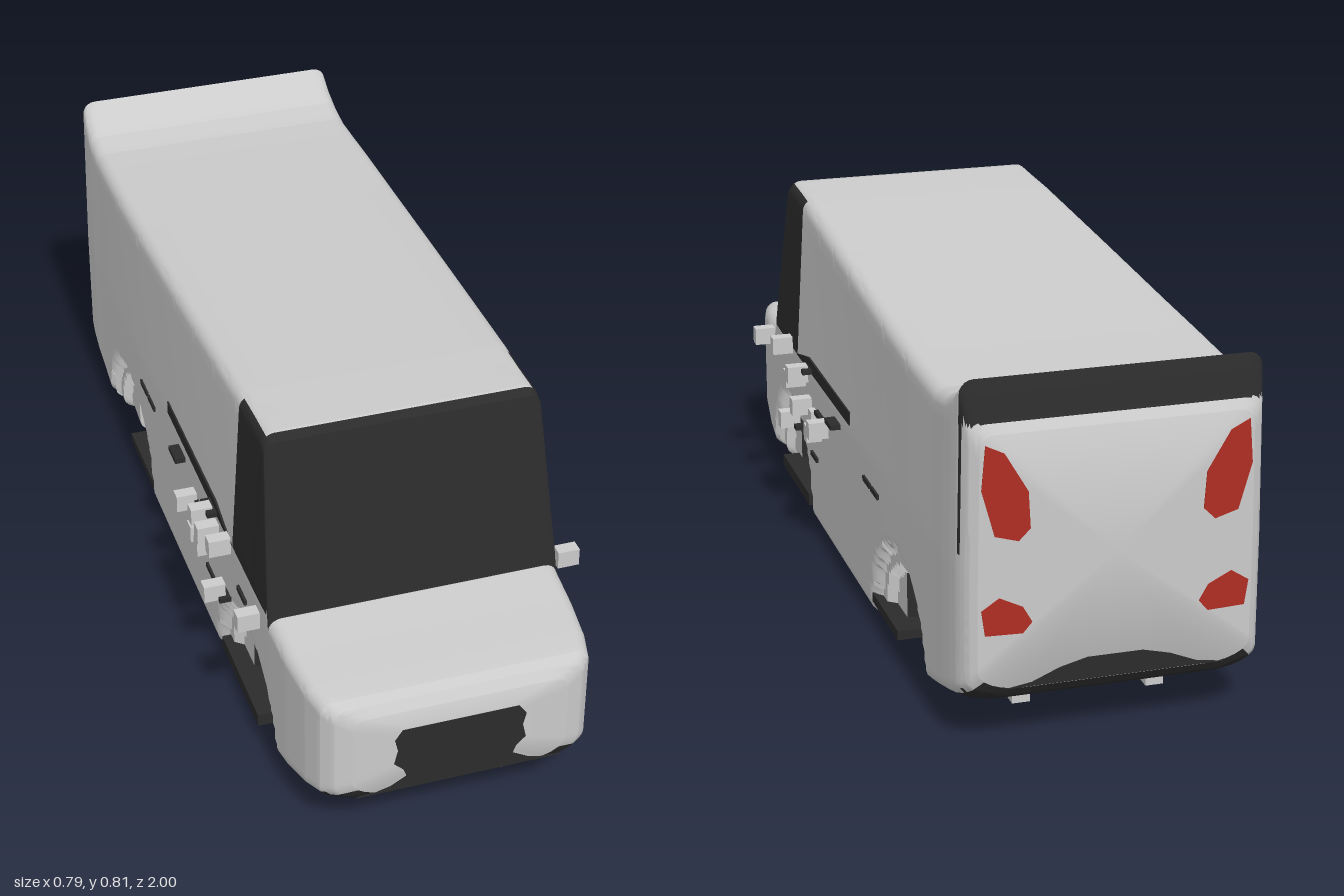
import * as THREE from 'three';
import { toCreasedNormals } from 'three/addons/utils/BufferGeometryUtils.js';

const mat = (name, color, side = THREE.FrontSide) => {
  const m = new THREE.MeshStandardMaterial({ color, side });
  m.name = name;
  return m;
};

// body stations from nose to tail: z, half width, bottom, top
const STATIONS = [
  [1, 0.24, 0.13, 0.345], [0.985, 0.28, 0.115, 0.367], [0.96, 0.3, 0.1, 0.376], [0.9, 0.315, 0.08, 0.381],
  [0.8, 0.326, 0.05, 0.388], [0.695, 0.331, 0.025, 0.398], [0.605, 0.333, 0.008, 0.795],
  [0.585, 0.333, 0.006, 0.806], [0.4, 0.334, 0, 0.8], [0, 0.335, 0, 0.775], [-0.4, 0.335, 0, 0.75],
  [-0.6, 0.334, 0.008, 0.74], [-0.72, 0.333, 0.03, 0.735], [-0.8, 0.332, 0.05, 0.733], [-0.87, 0.332, 0.07, 0.745],
  [-0.92, 0.33, 0.085, 0.768], [-0.955, 0.327, 0.1, 0.8], [-0.97, 0.322, 0.108, 0.765],
  [-0.985, 0.315, 0.118, 0.72], [-1, 0.295, 0.14, 0.695],
];
const { lerp, clamp } = THREE.MathUtils;

function station(z) {
  let i = 0;
  while (i < STATIONS.length - 2 && STATIONS[i + 1][0] > z) i++;
  const a = STATIONS[i], b = STATIONS[i + 1], t = (z - a[0]) / (b[0] - a[0]);
  return [1, 2, 3].map(k => lerp(a[k], b[k], t));
}

// right half of a cross-section, bottom centre to top centre
function halfSection(z) {
  const [w, b, t] = station(z);
  const lean = lerp(0.02, 0.075, clamp((z + 0.6) / 1.1, 0, 1));
  const hw = y => w * (1 - lean * Math.max(0, (y - 0.4) / 0.4));
  const rb = 0.045, rt = 0.03, y0 = b + rb, y2 = t - rt, y1 = Math.min(0.405, y2 - 0.003);
  const pts = [];
  const run = (n, f) => { for (let i = 0; i < n; i++) pts.push(f(i / n)); };
  run(5, s => [(hw(b) - 0.1) * s, b]);
  run(6, s => [hw(b) - 0.1 + 0.1 * Math.sin(s * Math.PI / 2), y0 - rb * Math.cos(s * Math.PI / 2)]);
  run(30, s => { const y = lerp(y0, y1, s); return [hw(y), y]; });
  run(12, s => { const y = lerp(y1, y2, s); return [hw(y), y]; });
  run(5, s => [hw(y2) - rt + rt * Math.cos(s * Math.PI / 2), y2 + rt * Math.sin(s * Math.PI / 2)]);
  run(6, s => [(hw(y2) - rt) * (1 - s), t]);
  pts.push([0, t]);
  return pts;
}

// stepped wheel wells pressed into the sides
const WELL_Z = 0.52, WELL_Y = 0.05;
const wellRadius = (y, z) => Math.hypot(Math.abs(z) - WELL_Z, y - WELL_Y);
const isWellCore = (y, z) => wellRadius(y, z) < 0.145 && Math.abs(Math.abs(z) - WELL_Z) < 0.06;
function wellDepth(x, y, z) {
  if (Math.abs(x) < 0.25) return 0;
  if (isWellCore(y, z)) return 0.12;
  const r = wellRadius(y, z);
  return r < 0.16 ? 0.04 : r < 0.2 ? 0.02 : r < 0.215 ? 0.008 : 0;
}

function isDark(x, y, z) {
  const [, b, t] = station(z);
  if (Math.abs(x) > 0.15 && isWellCore(y, z)) return true;                  // wheel well
  if (z > 0.585 && z < 0.695 && y > 0.4) return true;                       // windscreen
  if (z > 0.43 && z < 0.69 && y > 0.405 && y < t - 0.008) return true;      // cab side glass
  if (z < -0.955 && y > 0.715) return true;                                 // band under the spoiler
  if (z < -0.957 && z > -0.966 && y > 0.42) return true;                    // tailgate gap
  if (Math.abs(z) > 0.96 && y < 0.135) return true;                         // bumpers
  return y < b + (Math.abs(z) > 0.65 ? 0.025 : 0.006);                      // underside
}

function bodyGeometry() {
  const grid = STATIONS.map(s => s[0]).concat(0.43, -0.957, -0.966);
  for (let i = 1; i < 180; i++) grid.push(Math.sin((i / 180 - 0.5) * Math.PI));
  const zs = grid.sort((a, b) => b - a).filter((z, i) => i === 0 || grid[i - 1] - z > 1e-5);
  const pos = [];
  let n = 0;
  for (const z of zs) {
    const half = halfSection(z);
    const loop = half.concat(half.slice(1, -1).reverse().map(([x, y]) => [-x, y]));
    n = loop.length;
    for (const [x, y] of loop) pos.push(x - Math.sign(x) * wellDepth(x, y, z), y, z);
  }
  const light = [], dark = [];
  const at = (i, k) => pos[i * 3 + k];
  for (let i = 0; i < zs.length - 1; i++) for (let j = 0; j < n; j++) {
    const a = i * n + j, b = i * n + (j + 1) % n, d = a + n, c = b + n;
    const mid = [0, 1, 2].map(k => (at(a, k) + at(b, k) + at(c, k) + at(d, k)) / 4);
    (isDark(...mid) ? dark : light).push(a, d, b, b, d, c);
  }
  // flat nose and tail
  const last = (zs.length - 1) * n, nose = pos.length / 3, tail = nose + 1;
  pos.push(0, 0.24, 1, 0, 0.42, -1);
  for (let j = 0; j < n; j++) {
    const k = (j + 1) % n;
    light.push(nose, j, k, tail, last + k, last + j);
  }
  const g = new THREE.BufferGeometry();
  g.setAttribute('position', new THREE.Float32BufferAttribute(pos, 3));
  g.setIndex(light.concat(dark));
  g.addGroup(0, light.length, 0);
  g.addGroup(light.length, dark.length, 1);
  return toCreasedNormals(g, 0.6);
}

export function createModel() {
  const model = new THREE.Group();
  model.name = 'van';
  const paint = mat('light grey paint', 0xcbcbcb);
  const black = mat('charcoal', 0x2b2b2b);
  const red = mat('tail light red', 0xb02e24);

  const add = (name, geo, material) => {
    const m = new THREE.Mesh(geo, material);
    m.name = name;
    model.add(m);
    return m;
  };
  const box = (name, x, y, z, w, h, d, material) =>
    add(name, new THREE.BoxGeometry(w, h, d), material).position.set(x, y, z);
  const plate = (name, pts, z, material) => {
    const shape = new THREE.Shape(pts.map(p => new THREE.Vector2(...p)));
    add(name, new THREE.ExtrudeGeometry(shape, { depth: 0.004, bevelEnabled: false }), material).position.z = z;
  };
  const mirrored = pts => pts.concat(pts.slice().reverse().map(([x, y]) => [-x, y]));

  add('body', bodyGeometry(), [paint, black]);

  // grille and rear bumper face
  plate('grille', mirrored([[0.23, 0.131], [0.2, 0.133], [0.155, 0.145], [0.12, 0.165], [0.127, 0.185], [0.148, 0.205],
    [0.14, 0.24], [0.147, 0.27], [0.13, 0.295]]), 0.997, black);
  plate('rearBumper', mirrored([[0.24, 0.141], [0.18, 0.15], [0.12, 0.175], [0.06, 0.19]]), -1.001, black);

  for (const s of [1, -1]) {
    // tail lights
    plate('upperTailLight', [[0.28, 0.675], [0.24, 0.655], [0.19, 0.57], [0.185, 0.49], [0.21, 0.465], [0.26, 0.48], [0.288, 0.58]]
      .map(([x, y]) => [s * x, y]), -1.002, red);
    plate('lowerTailLight', [[0.288, 0.32], [0.25, 0.345], [0.2, 0.32], [0.18, 0.285], [0.2, 0.262], [0.28, 0.265]]
      .map(([x, y]) => [s * x, y]), -1.002, red);

    // dark waist strip with a tapered front end
    const strip = new THREE.Shape([[0.43, 0.408], [0.3, 0.44], [-0.11, 0.44], [-0.11, 0.408]]
      .map(([z, y]) => new THREE.Vector2(-z, y)));
    const m = add('waistStrip', new THREE.ExtrudeGeometry(strip, { depth: 0.008, bevelEnabled: false }), black);
    m.rotation.y = Math.PI / 2;
    m.position.x = s > 0 ? 0.329 : -0.337;

    // small dark side tabs: z, y, reach
    for (const [z, y, reach] of [[0.51, 0.33, 0.34], [0.18, 0.33, 0.345], [0.01, 0.372, 0.36], [0.25, 0.2, 0.34],
      [-0.27, 0.33, 0.34], [-0.34, 0.33, 0.34], [0.29, 0.415, 0.36], [0.38, 0.24, 0.36]])
      box('sideTab', s * (reach + 0.32) / 2, y, z, reach - 0.32, 0.012, 0.06, black);

    // small light side blocks: z, y, reach
    for (const [z, y, reach] of [[0.66, 0.387, 0.393], [0.445, 0.43, 0.395], [0.385, 0.257, 0.393], [0.33, 0.382, 0.39],
      [0.29, 0.405, 0.393], [0.295, 0.32, 0.383], [0.24, 0.305, 0.35], [0.195, 0.285, 0.372], [0.12, 0.32, 0.383]])
      box('sideBlock', s * (reach - 0.025), y, z, 0.05, 0.042, 0.03, paint);

    // sills across the wheel wells
    box('frontSill', s * 0.3, 0.055, 0.475, 0.07, 0.03, 0.29, black);
    box('rearSill', s * 0.3, 0.06, -0.41, 0.07, 0.022, 0.22, black);

    // stubs under the nose and tail
    box('noseStub', s * 0.105, 0.05, 0.885, 0.02, 0.04, 0.02, black);
    box('tailStub', s * 0.15, 0.033, -0.76, 0.025, 0.025, 0.04, paint);
    box('tailStub', s * 0.15, 0.036, -0.82, 0.04, 0.03, 0.03, paint);
  }
  return model;
}
